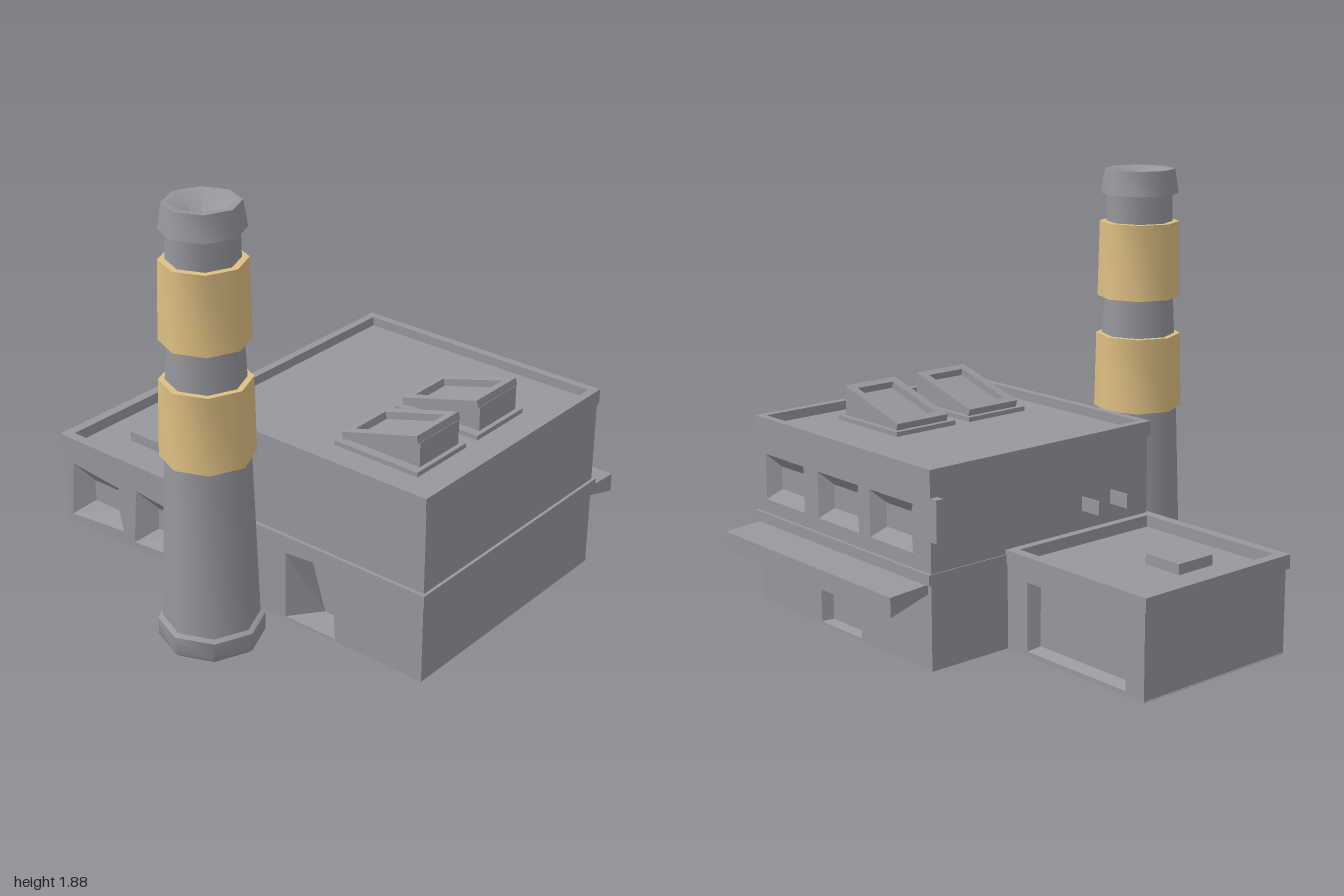
import * as THREE from 'three';
import { toCreasedNormals } from 'three/addons/utils/BufferGeometryUtils.js';

const grey = new THREE.MeshStandardMaterial({ color: 0x97989e });
grey.name = 'concrete grey';
const tan = new THREE.MeshStandardMaterial({ color: 0xdfc083 });
tan.name = 'band tan';

function mesh(name, geometry, material = grey) {
  const m = new THREE.Mesh(geometry, material);
  m.name = name;
  return m;
}

// Box given by its limits; the underside can be drawn in by an inset
function box(name, x0, x1, y0, y1, z0, z1, inset = 0) {
  const g = new THREE.BoxGeometry(x1 - x0, y1 - y0, z1 - z0);
  const p = g.attributes.position;
  for (let i = 0; inset && i < p.count; i++) {
    if (p.getY(i) > 0) continue;
    p.setX(i, p.getX(i) - Math.sign(p.getX(i)) * inset);
    p.setZ(i, p.getZ(i) - Math.sign(p.getZ(i)) * inset);
  }
  g.computeVertexNormals();
  g.translate((x0 + x1) / 2, (y0 + y1) / 2, (z0 + z1) / 2);
  return mesh(name, g);
}

const polygon = (points, Type = THREE.Shape) => new Type(points.map(([x, y]) => new THREE.Vector2(x, y)));
const rectPoints = (x0, x1, y0, y1) => [[x0, y0], [x1, y0], [x1, y1], [x0, y1]];
const extrude = (shape, depth) => new THREE.ExtrudeGeometry(shape, { depth, bevelEnabled: false });

// Horizontal rectangular frame of wall thickness t
function ring(name, x0, x1, z0, z1, y0, y1, t) {
  const s = polygon(rectPoints(x0, x1, -z1, -z0));
  s.holes.push(polygon(rectPoints(x0 + t, x1 - t, -z1 + t, -z0 - t), THREE.Path));
  return mesh(name, extrude(s, y1 - y0).rotateX(-Math.PI / 2).translate(0, y0, 0));
}

// Sloping reveal from an outer opening to a smaller pane, facing +z
function reveal(name, outer, inner, zOut, zIn) {
  const o = outer.map((c) => [...c, zOut]), n = inner.map((c) => [...c, zIn]), v = [];
  const quad = (a, b, c, d) => v.push(...a, ...b, ...c, ...a, ...c, ...d);
  for (let i = 0; i < 4; i++) quad(o[i], o[(i + 1) % 4], n[(i + 1) % 4], n[i]);
  quad(...n);
  const g = new THREE.BufferGeometry();
  g.setAttribute('position', new THREE.Float32BufferAttribute(v, 3));
  g.computeVertexNormals();
  return mesh(name, g);
}

// Wall with recessed openings, facing +z; openings are {name, outer, inner} corner lists
function facade(name, limits, zFront, depth, openings) {
  const group = new THREE.Group();
  group.name = name;
  const s = polygon(rectPoints(...limits));
  openings.forEach((o) => s.holes.push(polygon(o.outer, THREE.Path)));
  group.add(mesh(name + 'Wall', extrude(s, depth).translate(0, 0, zFront - depth)));
  openings.forEach((o) => group.add(reveal(o.name, o.outer, o.inner, zFront, zFront - depth * 0.8)));
  return group;
}

// Eight-sided turned part
function turned(name, profile, material = grey) {
  const pts = profile.map(([r, y]) => new THREE.Vector2(r, y));
  return mesh(name, toCreasedNormals(new THREE.LatheGeometry(pts, 8), 0.9), material);
}

function createChimney() {
  const g = new THREE.Group();
  g.name = 'chimney';
  g.position.set(0.105, 0, 0.69);
  g.add(turned('chimneyBase', [[0, 0], [0.19, 0], [0.215, 0.02], [0.217, 0.1], [0.2, 0.11], [0, 0.11]]));
  g.add(turned('chimneyShaft', [[0.197, 0.1], [0.17, 0.85], [0.157, 1.17], [0.148, 1.34], [0.14, 1.78]]));
  const band = (y0, y1, r0, r1) =>
    g.add(turned('chimneyBand', [[0.12, y0], [r0, y0], [r1, y1], [0.12, y1]], tan));
  band(0.84, 1.165, 0.19, 0.183);
  band(1.33, 1.655, 0.179, 0.171);
  // Rim with a hollow mouth
  g.add(turned('chimneyRim', [[0.12, 1.775], [0.167, 1.775], [0.15, 1.88], [0.122, 1.88], [0, 1.77]]));
  return g;
}

function createSkylight(zc) {
  const g = new THREE.Group();
  g.name = 'skylight';
  g.position.z = zc;
  const wedge = polygon([[0.43, 0.82], [0.8, 0.82], [0.8, 0.945], [0.43, 0.84]]);
  g.add(mesh('skylightBody', extrude(wedge, 0.25).translate(0, 0, -0.125)));
  const frame = ring('skylightFrame', -0.19, 0.19, -0.135, 0.135, 0, 0.032, 0.04);
  frame.position.set(0.615, 0.891, 0);
  frame.rotation.z = 0.277;
  g.add(frame, box('skylightBase', 0.41, 0.82, 0.815, 0.84, -0.15, 0.165));
  return g;
}

export function createModel() {
  const model = new THREE.Group();
  model.name = 'factory';

  // Main hall
  model.add(box('hallBody', -0.2, 0.98, 0.04, 0.82, -0.67, 0.3));
  model.add(box('hallFoundation', -0.2, 0.98, 0.005, 0.045, -0.72, 0.45, 0.25));
  model.add(facade('hallFront', [-0.2, 0.98, 0.04, 0.82], 0.45, 0.15, [{
    name: 'entrance',
    outer: [[0.29, 0.05], [0.55, 0.05], [0.53, 0.37], [0.29, 0.35]],
    inner: [[0.4, 0.06], [0.5, 0.06], [0.46, 0.28], [0.33, 0.28]],
  }]));
  const windows = [0.785, 0.405, 0.05].map((x) => ({
    name: 'backWindow',
    outer: rectPoints(-x - 0.14, -x + 0.14, 0.5, 0.7),
    inner: rectPoints(-x - 0.08, -x + 0.08, 0.55, 0.65),
  }));
  const back = facade('hallBack', [-0.98, 0.2, 0.04, 0.82], 0.72, 0.05, [...windows, {
    name: 'backDoor',
    outer: rectPoints(-0.54, -0.26, 0.05, 0.34),
    inner: rectPoints(-0.51, -0.29, 0.06, 0.31),
  }]);
  back.rotation.y = Math.PI;
  model.add(back);
  model.add(ring('hallParapet', -0.205, 0.987, -0.725, 0.463, 0.795, 0.86, 0.035));
  model.add(ring('hallLedge', -0.205, 0.993, -0.735, 0.465, 0.395, 0.44, 0.06));

  // Sloping canopy along the back
  const canopy = polygon([[0.7, 0.36], [0.905, 0.3], [0.905, 0.382], [0.7, 0.395]]);
  model.add(mesh('backCanopy', extrude(canopy, 1.15).rotateY(Math.PI / 2).translate(-0.18, 0, 0)));

  [-0.26, 0.13].forEach((z) => model.add(createSkylight(z)));

  // Thin brackets on the side wall above the wing, and a short corner pipe
  [0.08, 0.24].forEach((z) =>
    model.add(box('wallBracket', -0.3, -0.195, 0.54, 0.6, z - 0.004, z + 0.004)));
  model.add(box('cornerPipe', -0.237, -0.195, 0.57, 0.745, -0.72, -0.685));

  // Low wing
  model.add(box('wingBody', -0.98, -0.19, 0.04, 0.41, -0.28, 0.39));
  model.add(box('wingFoundation', -0.985, -0.19, 0.01, 0.045, -0.33, 0.45, 0.18));
  model.add(facade('wingFront', [-0.98, -0.19, 0.04, 0.41], 0.455, 0.07, [-0.785, -0.4].map((x) => ({
    name: 'wingWindow',
    outer: [[x - 0.165, 0.07], [x + 0.155, 0.1], [x + 0.135, 0.305], [x - 0.145, 0.33]],
    inner: rectPoints(x - 0.07, x + 0.07, 0.15, 0.25),
  }))));
  const wingBack = facade('wingBack', [0.19, 0.98, 0.04, 0.41], 0.33, 0.055, [{
    name: 'loadingDoor',
    outer: rectPoints(0.32, 0.88, 0.06, 0.35),
    inner: rectPoints(0.35, 0.85, 0.08, 0.33),
  }]);
  wingBack.rotation.y = Math.PI;
  model.add(wingBack);
  model.add(ring('wingParapet', -0.993, -0.19, -0.34, 0.465, 0.4, 0.46, 0.045));
  model.add(box('roofHatch', -0.78, -0.595, 0.4, 0.455, 0.055, 0.245));

  model.add(createChimney());
  return model;
}
